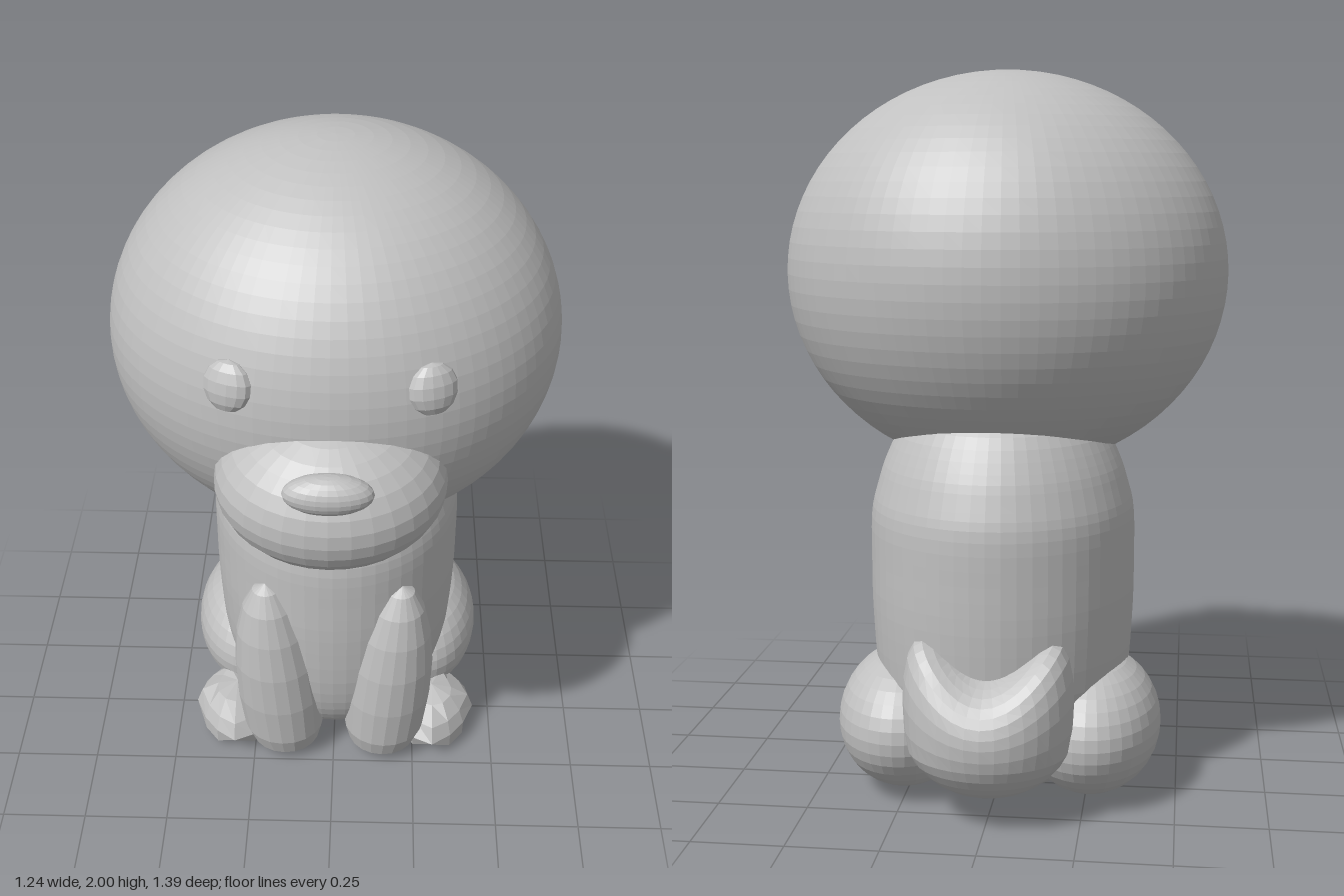
import * as THREE from 'three';

const coat = new THREE.MeshStandardMaterial({ color: 0xc0c0c0 });
coat.name = 'plain grey';

// Moves every vertex by a rule, then gives each facet its own normal
function finish(geometry, name, rule, faceted = true) {
  const p = geometry.attributes.position;
  const v = new THREE.Vector3();
  for (let i = 0; i < p.count; i++) {
    v.fromBufferAttribute(p, i);
    if (rule) rule(v);
    p.setXYZ(i, v.x, v.y, v.z);
  }
  const g = faceted ? geometry.toNonIndexed() : geometry;
  g.computeVertexNormals();
  const mesh = new THREE.Mesh(g, coat);
  mesh.name = name;
  return mesh;
}

// Ellipsoid at a centre; the rule shapes the unit sphere after scaling
function ellipsoid(name, center, radii, segments, rule) {
  const g = new THREE.SphereGeometry(1, segments, Math.round(segments / 2));
  g.scale(...radii);
  const mesh = finish(g, name, rule);
  mesh.position.set(...center);
  return mesh;
}

export function createModel() {
  const model = new THREE.Group();
  model.name = 'sittingDog';

  // Head, muzzle and nose
  model.add(ellipsoid('head', [0, 1.44, -0.05], [0.622, 0.56, 0.57], 80));
  const muzzle = ellipsoid('muzzle', [0, 1.25, 0.42], [0.305, 0.21, 0.263], 32);
  muzzle.rotation.x = 0.12;
  model.add(muzzle);
  model.add(ellipsoid('nose', [0, 1.367, 0.643], [0.115, 0.054, 0.052], 24));

  // Upright body, deeper than it is wide
  const profile = [
    [0, 0], [0.15, 0.01], [0.25, 0.06], [0.32, 0.16], [0.355, 0.3], [0.37, 0.5],
    [0.372, 0.65], [0.37, 0.78], [0.352, 0.86], [0.325, 0.94], [0.27, 1.04], [0.16, 1.13], [0, 1.17],
  ].map(([r, y]) => new THREE.Vector2(r, y));
  const curve = new THREE.SplineCurve(profile).getPoints(40);
  curve.forEach((q) => { q.x = Math.max(q.x, 0); q.y = Math.max(q.y, 0); });
  const body = finish(new THREE.LatheGeometry(curve, 56), 'body', (v) => { v.z *= 1.12; });
  body.position.z = -0.15;
  model.add(body);

  for (const side of [-1, 1]) {
    const label = side > 0 ? 'left' : 'right';

    // Eye laid against the curve of the head
    const eye = ellipsoid(label + 'Eye', [side * 0.255, 1.555, 0.453], [0.067, 0.07, 0.034], 14);
    eye.rotation.set(-0.2, side * 0.42, 0, 'YXZ');
    model.add(eye);

    // Front leg, leaning outwards towards the shoulder, flat at the paw
    model.add(ellipsoid(label + 'FrontLeg', [side * 0.168, 0.24, 0.17], [0.13, 0.45, 0.125], 20, (v) => {
      v.y = Math.max(v.y, -0.2);
      v.x += side * 0.075 * v.y;
      v.z += 0.06 * v.y;
    }));

    // Haunch, flattened where it sits
    model.add(ellipsoid(label + 'Haunch', [side * 0.26, 0.195, -0.235], [0.196, 0.197, 0.285], 36, (v) => {
      v.y = Math.max(v.y, -0.175);
    }));

    // Rough low-poly hind paw
    model.add(ellipsoid(label + 'HindPaw', [side * 0.31, 0.075, 0.07], [0.125, 0.09, 0.165], 12, (v) => {
      const rough = 1 + 0.07 * Math.sin(v.x * 61 * side + v.z * 47 + v.y * 33);
      v.multiplyScalar(rough);
      v.y = Math.max(v.y, -0.05);
    }));
  }

  // Tail: a rounded bowl whose two upper corners sweep up around the back
  model.add(ellipsoid('tail', [0, 0.255, -0.495], [0.23, 0.19, 0.2], 36, (v) => {
    const nx = v.x / 0.23;
    const ny = v.y / 0.19;
    if (v.y > 0) v.y *= 0.8;
    v.y += 0.25 * nx * nx * Math.max(0, ny + 0.3);
  }));

  return model;
}
